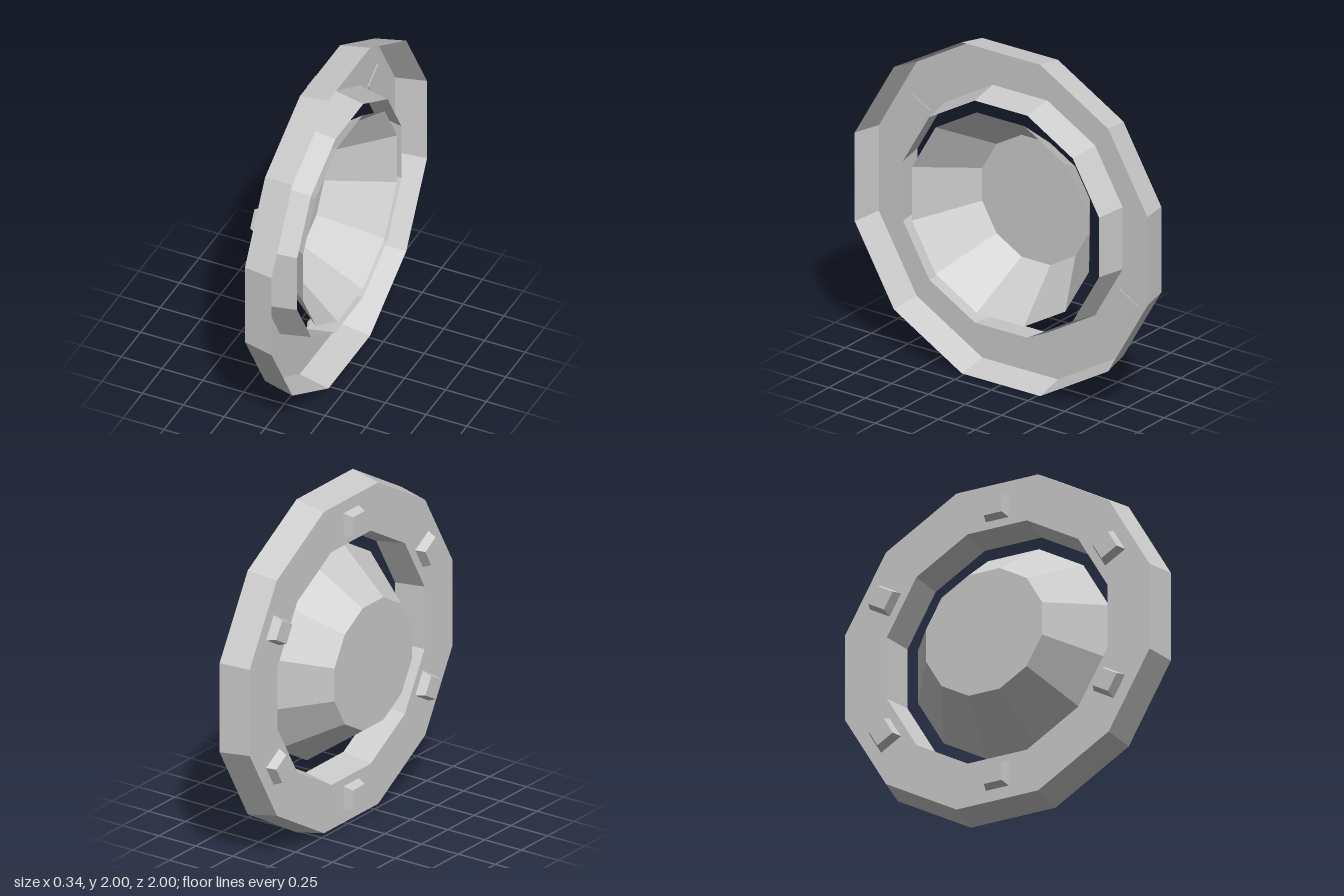
import * as THREE from 'three';

const SIDES = 12;
const material = new THREE.MeshStandardMaterial({ color: 0xcccccc, flatShading: true, side: THREE.DoubleSide });

// Twelve-sided thin shell; points are [flat-to-centre distance, position along the axis]
function shell(name, points) {
  const profile = points.map(([r, h]) => new THREE.Vector2(r / Math.cos(Math.PI / SIDES), h));
  const mesh = new THREE.Mesh(new THREE.LatheGeometry(profile, SIDES, Math.PI / SIDES), material);
  mesh.name = name;
  return mesh;
}

export function createModel() {
  const model = new THREE.Group();
  model.name = 'ringedDish';

  // Everything is built around y, then the axis is laid along x
  const body = new THREE.Group();
  body.name = 'body';
  body.rotation.z = -Math.PI / 2;
  body.position.y = 1;
  model.add(body);

  // Trough-shaped outer ring, open towards +x
  body.add(shell('outerRing', [[0.67, 0.16], [0.70, -0.02], [0.965, -0.02], [1, 0.16]]));

  // Separate dish in the middle
  body.add(shell('dish', [[0, -0.17], [0.368, -0.17], [0.605, 0.165]]));

  // Six tapered pegs on the back of the ring, just piercing its floor
  const pegGeometry = new THREE.CylinderGeometry(0.075 * Math.SQRT2, 0.056 * Math.SQRT2, 0.06, 4, 1, false, Math.PI / 4);
  for (let i = 0; i < 6; i++) {
    const spoke = new THREE.Group();
    spoke.name = 'pegSpoke' + (i + 1);
    spoke.rotation.y = (i * Math.PI) / 3;
    const peg = new THREE.Mesh(pegGeometry, material);
    peg.name = 'peg';
    peg.position.set(0.82, -0.043, 0);
    spoke.add(peg);
    body.add(spoke);
  }
  return model;
}
